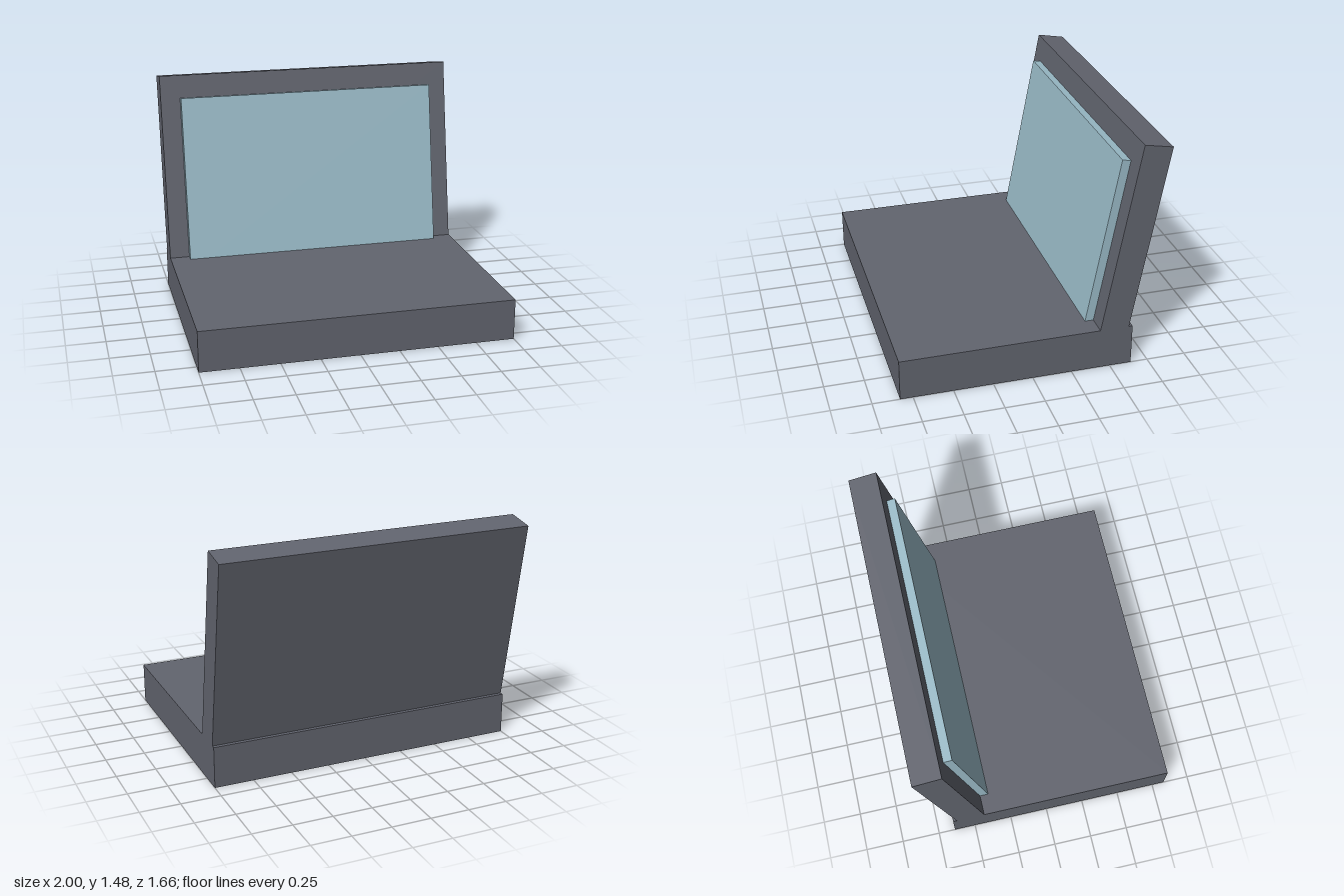
import * as THREE from 'three';

const casing = new THREE.MeshStandardMaterial({ color: 0x62656f });
casing.name = 'slate grey casing';
const glass = new THREE.MeshStandardMaterial({ color: 0x9bbcc9 });
glass.name = 'pale blue screen';

// Box spanning the given min and max corners
function block(name, material, [x0, y0, z0], [x1, y1, z1]) {
  const geometry = new THREE.BoxGeometry(x1 - x0, y1 - y0, z1 - z0);
  geometry.translate((x0 + x1) / 2, (y0 + y1) / 2, (z0 + z1) / 2);
  const mesh = new THREE.Mesh(geometry, material);
  mesh.name = name;
  return mesh;
}

export function createModel() {
  const model = new THREE.Group();
  model.name = 'laptop';

  // Flat base slab
  model.add(block('base', casing, [-1, 0, -0.64], [1, 0.265, 0.83]));

  // Lid leans back from the hinge line; its foot is sunk into the base
  const lid = new THREE.Group();
  lid.name = 'lid';
  lid.position.set(0, 0.265, -0.43);
  lid.rotation.x = THREE.MathUtils.degToRad(-10.2);
  lid.add(block('lidPanel', casing, [-1, -0.12, -0.182], [1, 1.236, 0]));

  // Raised screen on the front of the lid
  lid.add(block('screen', glass, [-0.87, -0.1, -0.02], [0.87, 1.083, 0.054]));

  model.add(lid);
  return model;
}
